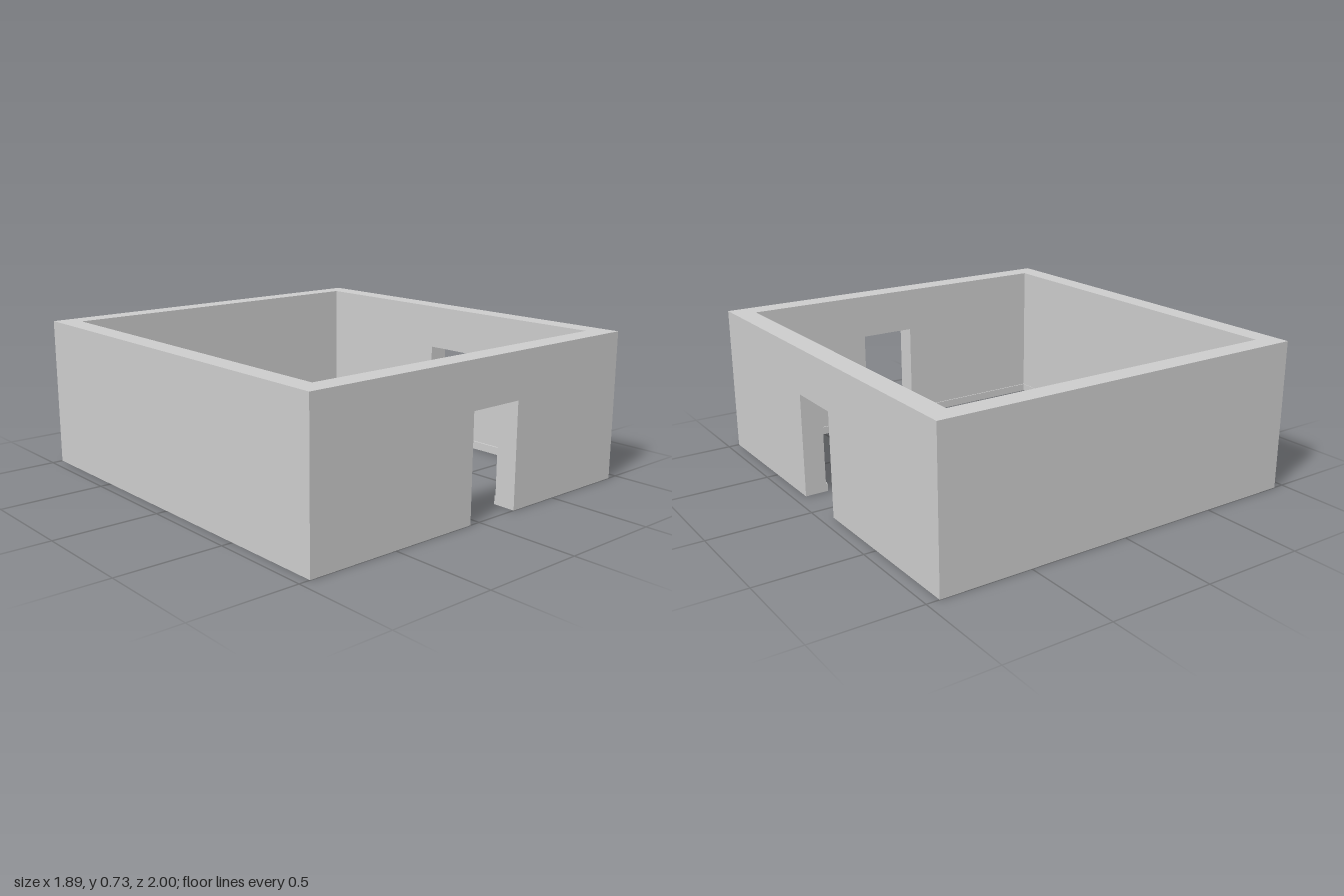
import * as THREE from 'three';

const material = new THREE.MeshStandardMaterial({ color: 0xcccccc, flatShading: true });
const NAMES = ['front', 'left', 'back', 'right'];

// Distances from the centre to each rectangle's sides: +z, +x, -z, -x
const OUTER = [1, 0.942, 1, 0.947];
const INNER = [0.893, 0.837, 0.9, 0.845];
const SKIRT = [0.887, 0.828, 0.894, 0.842];

const WALL_HEIGHT = 0.727;
const SKIRT_HEIGHT = 0.04;
// Door openings along each wall: start, end, height
const DOORS = [[-0.055, 0.23, 0.505], [-0.18, 0.105, 0.505], null, null];

const polygon = (points) => new THREE.Shape(points.map(([x, y]) => new THREE.Vector2(x, y)));

// One side of a rectangular ring, mitred at the corners and cut by its door
function panel(i, outer, inner, height) {
  const next = (i + 1) % 4, prev = (i + 3) % 4;
  const a = -outer[prev], b = outer[next], door = DOORS[i];
  let shapes;
  if (!door) {
    shapes = polygon([[a, 0], [b, 0], [b, height], [a, height]]);
  } else if (door[2] < height) {
    const [l, r, h] = door;
    shapes = polygon([[a, 0], [l, 0], [l, h], [r, h], [r, 0], [b, 0], [b, height], [a, height]]);
  } else {
    shapes = [[a, door[0]], [door[1], b]].map(([s, e]) =>
      polygon([[s, 0], [e, 0], [e, height], [s, height]]));
  }
  const geometry = new THREE.ExtrudeGeometry(shapes, { depth: outer[i] - inner[i], bevelEnabled: false });
  geometry.translate(0, 0, inner[i]);

  // Mitre: pull the inner end corners in to the inner rectangle
  const p = geometry.attributes.position;
  for (let k = 0; k < p.count; k++) {
    if (Math.abs(p.getZ(k) - inner[i]) > 1e-4) continue;
    if (Math.abs(p.getX(k) - a) < 1e-4) p.setX(k, -inner[prev]);
    if (Math.abs(p.getX(k) - b) < 1e-4) p.setX(k, inner[next]);
  }
  geometry.rotateY(i * Math.PI / 2);

  // The +x side runs very slightly out of square
  for (let k = 0; k < p.count; k++) {
    if (p.getX(k) > 0.5) p.setX(k, p.getX(k) + 0.003 * p.getZ(k));
  }
  geometry.computeVertexNormals();
  return new THREE.Mesh(geometry, material);
}

export function createModel() {
  const room = new THREE.Group();
  room.name = 'room';
  NAMES.forEach((name, i) => {
    const wall = panel(i, OUTER, INNER, WALL_HEIGHT);
    wall.name = name + 'Wall';
    const skirting = panel(i, INNER, SKIRT, SKIRT_HEIGHT);
    skirting.name = name + 'Skirting';
    room.add(wall, skirting);
  });
  return room;
}
